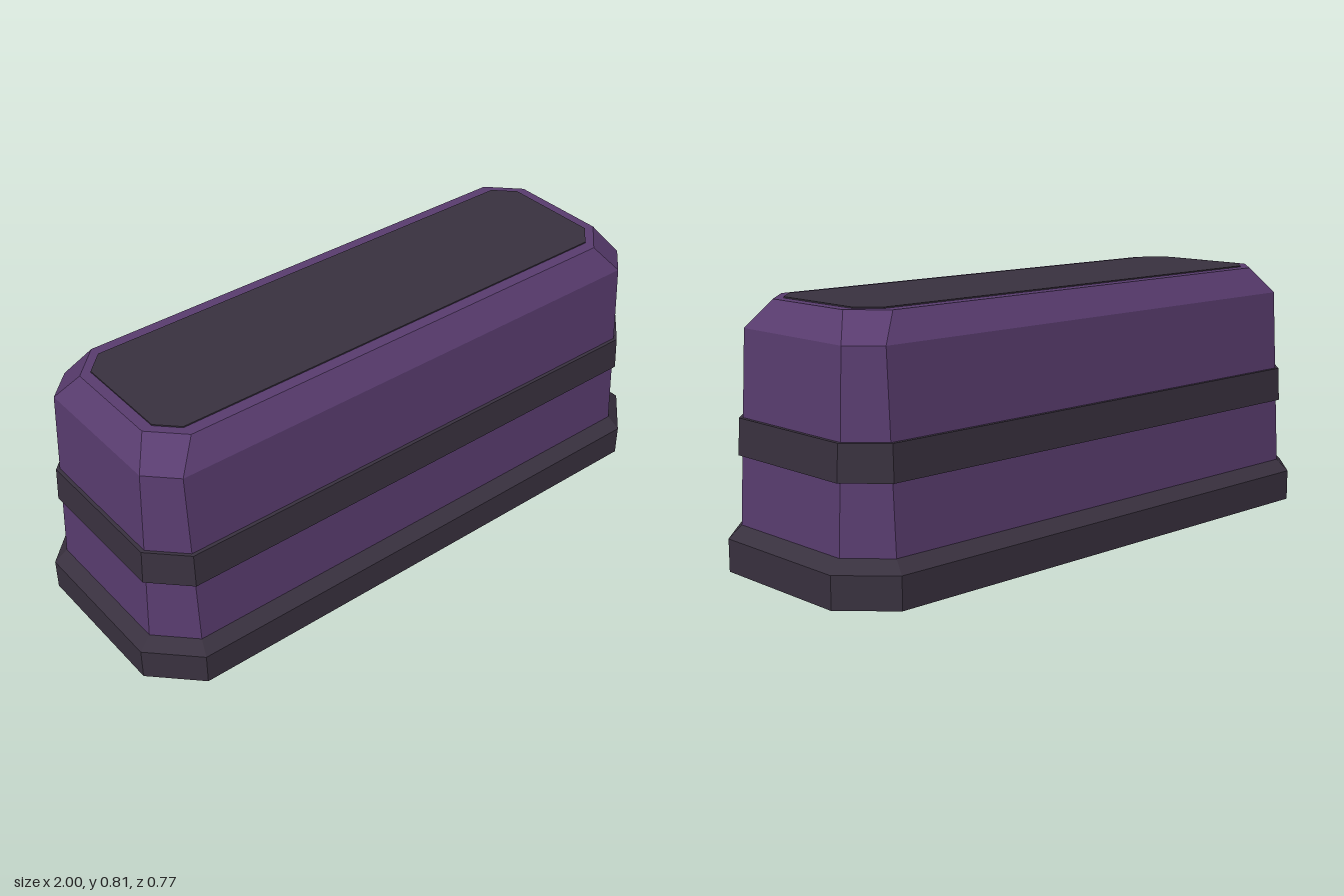
import * as THREE from 'three';

// Chamfered rectangle at height y, counterclockwise seen from above
function ring([y, hx, hz, cut]) {
  const ix = hx - cut, iz = hz - cut;
  return [
    [hx, iz], [hx, -iz], [ix, -hz], [-ix, -hz],
    [-hx, -iz], [-hx, iz], [-ix, hz], [ix, hz],
  ].map(([x, z]) => [x, y, z]);
}

// Closed faceted solid through a stack of rings: [y, half width, half depth, corner cut]
function loft(name, material, sections) {
  const rings = sections.map(ring);
  const pos = [];
  const tri = (a, b, c) => pos.push(...a, ...b, ...c);
  for (let r = 0; r < rings.length - 1; r++) {
    const lo = rings[r], hi = rings[r + 1];
    for (let i = 0; i < 8; i++) {
      const j = (i + 1) % 8;
      tri(lo[i], lo[j], hi[j]);
      tri(lo[i], hi[j], hi[i]);
    }
  }
  const bottom = rings[0], top = rings[rings.length - 1];
  for (let i = 1; i < 7; i++) {
    tri(top[0], top[i], top[i + 1]);
    tri(bottom[0], bottom[i + 1], bottom[i]);
  }
  const geometry = new THREE.BufferGeometry();
  geometry.setAttribute('position', new THREE.Float32BufferAttribute(pos, 3));
  geometry.computeVertexNormals();
  const mesh = new THREE.Mesh(geometry, material);
  mesh.name = name;
  return mesh;
}

export function createModel() {
  const purple = new THREE.MeshStandardMaterial({ color: 0x593c6f });
  purple.name = 'purple';
  const charcoal = new THREE.MeshStandardMaterial({ color: 0x39313f });
  charcoal.name = 'charcoal';

  const model = new THREE.Group();
  model.name = 'chamferedBlock';
  model.add(
    // Plinth with a sloped upper edge
    loft('base', charcoal, [
      [0, 1, 0.384, 0.137],
      [0.1, 1, 0.384, 0.137],
      [0.137, 0.96, 0.346, 0.11],
    ]),
    // Tapered body with a bevelled top
    loft('body', purple, [
      [0.137, 0.96, 0.346, 0.11],
      [0.718, 0.932, 0.314, 0.085],
      [0.803, 0.874, 0.26, 0.096],
    ]),
    // Raised belt around the middle
    loft('band', charcoal, [
      [0.347, 0.962, 0.345, 0.109],
      [0.457, 0.956, 0.34, 0.105],
    ]),
    // Thin inset on top
    loft('topPanel', charcoal, [
      [0.802, 0.84, 0.222, 0.062],
      [0.807, 0.84, 0.222, 0.062],
    ]),
  );
  return model;
}
